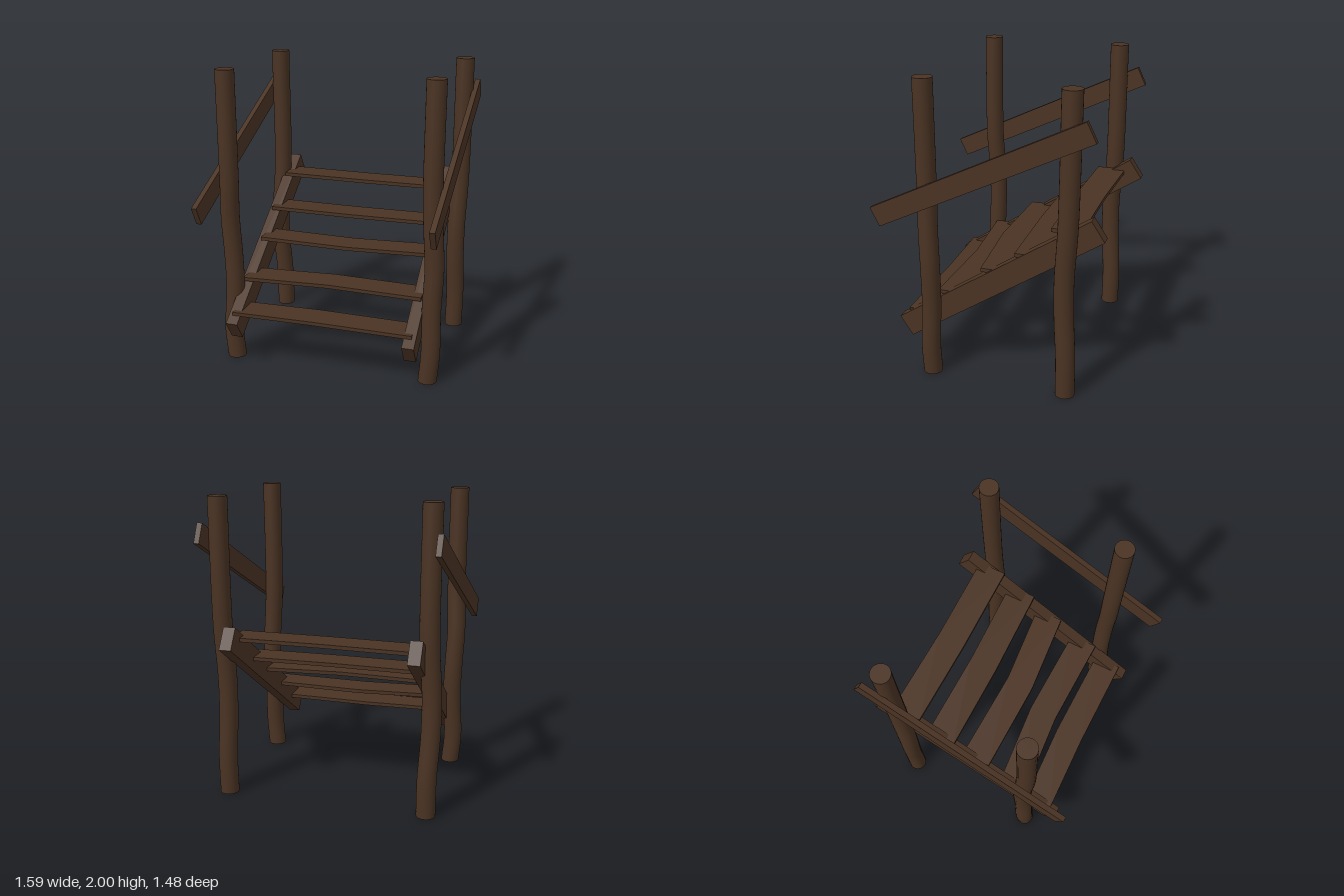
import * as THREE from 'three';

const wood = new THREE.MeshStandardMaterial({ color: 0x4a3323 });
wood.name = 'darkWood';

// Log post whose centre follows [y, x, z] points
function makePost(name, points) {
  const curve = new THREE.CatmullRomCurve3(points.map(([y, x, z]) => new THREE.Vector3(x, y, z)));
  const samples = curve.getPoints(120);
  const geo = new THREE.CylinderGeometry(0.063, 0.063, 2, 24, 32);
  const pos = geo.attributes.position;
  for (let i = 0; i < pos.count; i++) {
    const y = pos.getY(i) + 1;
    let k = 1;
    while (k < samples.length - 1 && samples[k].y < y) k++;
    const a = samples[k - 1], b = samples[k];
    const t = THREE.MathUtils.clamp((y - a.y) / (b.y - a.y), 0, 1);
    pos.setXYZ(i, pos.getX(i) + a.x + (b.x - a.x) * t, y, pos.getZ(i) + a.z + (b.z - a.z) * t);
  }
  geo.computeVertexNormals();
  const mesh = new THREE.Mesh(geo, wood);
  mesh.name = name;
  return mesh;
}

// Straight plank running between two centre points
function makeBeam(name, from, to, thickness, height) {
  const a = new THREE.Vector3(...from), b = new THREE.Vector3(...to);
  const mesh = new THREE.Mesh(new THREE.BoxGeometry(thickness, height, a.distanceTo(b)), wood);
  mesh.position.copy(a).add(b).multiplyScalar(0.5);
  mesh.lookAt(b);
  mesh.name = name;
  return mesh;
}

// Thin uneven tread: columns of [x, back z, front z]
function makeTread(name, y, columns) {
  const shape = new THREE.Shape();
  columns.forEach(([x, , front], i) => (i ? shape.lineTo(x, -front) : shape.moveTo(x, -front)));
  [...columns].reverse().forEach(([x, back]) => shape.lineTo(x, -back));
  const geo = new THREE.ExtrudeGeometry(shape, { depth: 0.025, bevelEnabled: false });
  geo.rotateX(-Math.PI / 2);
  const mesh = new THREE.Mesh(geo, wood);
  mesh.position.y = y - 0.0125;
  mesh.name = name;
  return mesh;
}

export function createModel() {
  const model = new THREE.Group();
  model.name = 'woodenStairs';

  // Four crooked posts
  model.add(
    makePost('frontRightPost', [[0, -0.667, 0.41], [0.2, -0.683, 0.41], [0.5, -0.668, 0.395], [0.75, -0.675, 0.388], [1, -0.685, 0.395], [1.25, -0.675, 0.41], [2, -0.675, 0.41]]),
    makePost('frontLeftPost', [[0, 0.685, 0.388], [0.2, 0.7, 0.39], [0.5, 0.695, 0.378], [0.8, 0.705, 0.375], [1, 0.695, 0.383], [1.25, 0.683, 0.385], [2, 0.683, 0.385]]),
    makePost('backRightPost', [[0, -0.658, -0.53], [0.25, -0.66, -0.53], [0.55, -0.675, -0.51], [0.8, -0.675, -0.505], [1.15, -0.657, -0.525], [2, -0.657, -0.525]]),
    makePost('backLeftPost', [[0, 0.695, -0.525], [0.25, 0.698, -0.525], [0.55, 0.69, -0.508], [0.8, 0.69, -0.505], [1.15, 0.7, -0.525], [2, 0.7, -0.535]])
  );

  // Sloping side beams that carry the treads
  for (const [side, x] of [['right', -0.6], ['left', 0.6]]) {
    model.add(makeBeam(side + 'Stringer', [x, 0.275, 0.593], [x, 1.125, -0.695], 0.08, 0.155));
  }

  // Slightly skewed handrails
  model.add(
    makeBeam('leftHandrail', [0.752, 1.1, 0.71], [0.777, 1.78, -0.672], 0.036, 0.135),
    makeBeam('rightHandrail', [-0.776, 1.1, 0.705], [-0.726, 1.77, -0.68], 0.036, 0.135)
  );

  // Five treads
  const treads = [
    [0.388, [[-0.615, 0.39, 0.58], [-0.05, 0.37, 0.568], [0.612, 0.385, 0.578]]],
    [0.56, [[-0.615, 0.185, 0.38], [-0.03, 0.14, 0.338], [0.62, 0.165, 0.36]]],
    [0.755, [[-0.6, -0.11, 0.09], [0.04, -0.083, 0.11], [0.615, -0.13, 0.065]]],
    [0.9, [[-0.615, -0.37, -0.17], [0, -0.355, -0.158], [0.635, -0.365, -0.168]]],
    [1.093, [[-0.6, -0.615, -0.415], [0, -0.593, -0.398], [0.618, -0.593, -0.398]]]
  ];
  treads.forEach(([y, columns], i) => model.add(makeTread('tread' + (i + 1), y, columns)));

  return model;
}
